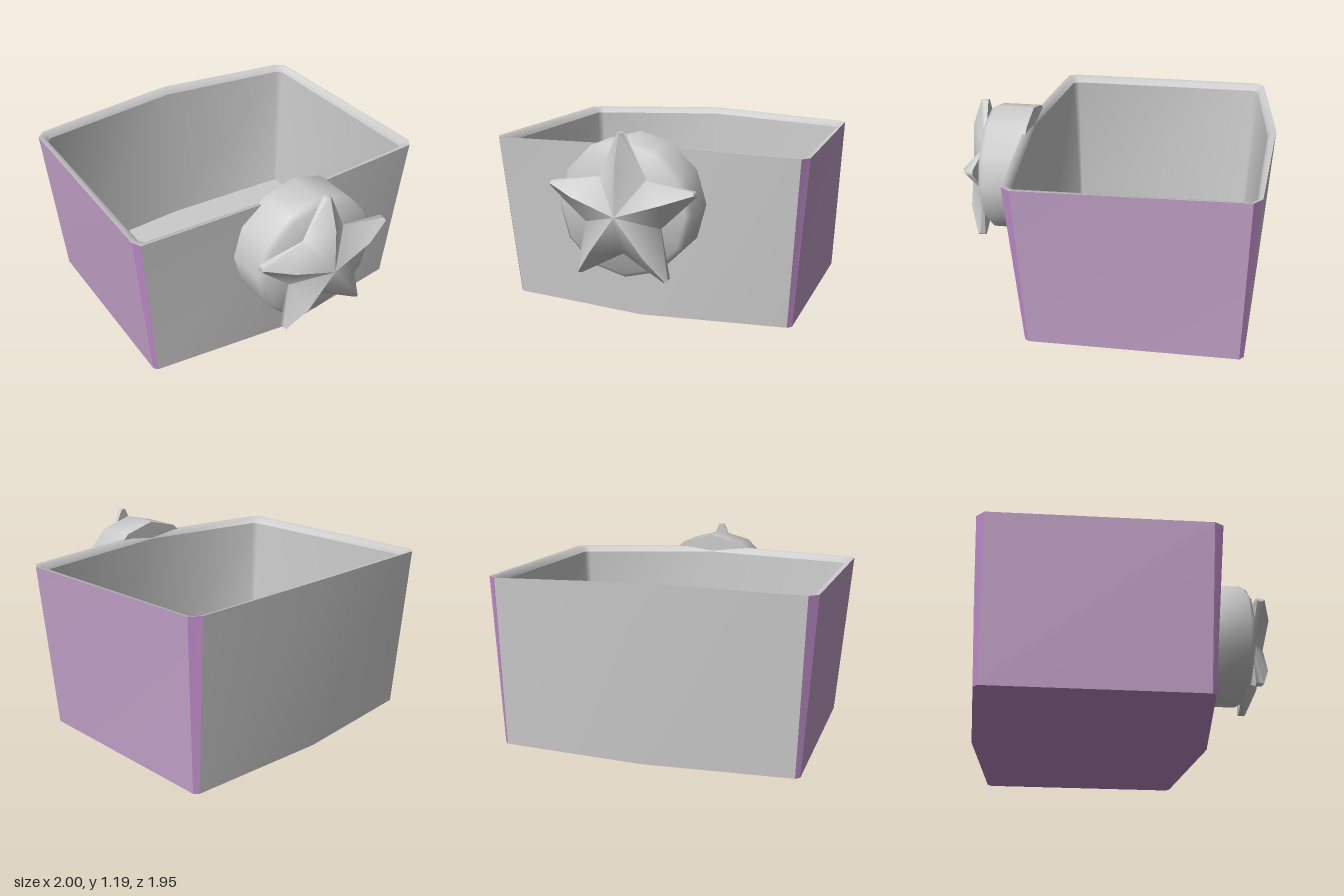
import * as THREE from 'three';
import { toCreasedNormals } from 'three/addons/utils/BufferGeometryUtils.js';

const grey = new THREE.MeshStandardMaterial({ color: 0xcccccc });
const mauve = new THREE.MeshStandardMaterial({ color: 0xc4a2ca });
const violet = new THREE.MeshStandardMaterial({ color: 0xbf8cc9 });

// Mesh from polygons, each a loop of Vector3 fanned into triangles
function polyMesh(name, polys, material, crease = 0.5) {
  const pos = [];
  for (const p of polys) {
    for (let i = 1; i < p.length - 1; i++) {
      for (const v of [p[0], p[i], p[i + 1]]) pos.push(v.x, v.y, v.z);
    }
  }
  const geo = new THREE.BufferGeometry();
  geo.setAttribute('position', new THREE.Float32BufferAttribute(pos, 3));
  const mesh = new THREE.Mesh(toCreasedNormals(geo, crease), material);
  mesh.name = name;
  return mesh;
}

const ring = list => list.map(p => new THREE.Vector3(...p));
// Quads joining two loops, optionally only the given segments
function band(a, b, segments = a.map((_, i) => i)) {
  return segments.map(i => {
    const j = (i + 1) % a.length;
    return [a[i], a[j], b[j], b[i]];
  });
}

function makeTub() {
  const tub = new THREE.Group();
  tub.name = 'tub';
  // Loops run from the front right corner round to the back right one
  const top = ring([
    [-1, 1.04, 0.465], [-0.97, 1.04, 0.52], [0, 1.065, 0.59], [0.955, 1.035, 0.515], [0.995, 1.035, 0.46],
    [0.96, 1.035, -0.85], [0.9, 1.035, -0.9], [0, 1.07, -0.98], [-0.935, 1.04, -0.91], [-0.985, 1.04, -0.86],
  ]);
  const bottom = ring([
    [-0.91, 0, 0.42], [-0.89, 0, 0.445], [0, 0, 0.555], [0.89, 0, 0.445], [0.915, 0, 0.42],
    [0.915, 0, -0.835], [0.89, 0, -0.86], [0, 0, -0.92], [-0.885, 0, -0.86], [-0.91, 0, -0.835],
  ]);
  const floor = ring([
    [-0.88, 0.06, 0.42], [-0.865, 0.06, 0.435], [0, 0.06, 0.505], [0.865, 0.06, 0.435], [0.885, 0.06, 0.42],
    [0.885, 0.06, -0.815], [0.87, 0.06, -0.83], [0, 0.06, -0.88], [-0.865, 0.06, -0.83], [-0.88, 0.06, -0.815],
  ]);
  // Rounded lip between the outer edge and the inner walls
  const inset = (amount, drop) => top.map((p, i) => {
    const v = p.clone().lerp(floor[i], amount);
    v.y = p.y - drop;
    return v;
  });
  const lip = inset(0.3, 0.005);
  const lipInner = inset(0.5, 0.04);

  tub.add(
    polyMesh('frontWall', band(bottom, top, [1, 2]), grey),
    polyMesh('backWall', band(bottom, top, [6, 7]), grey),
    polyMesh('sideWalls', band(bottom, top, [4, 9]), mauve),
    polyMesh('cornerChamfers', band(bottom, top, [0, 3, 5, 8]), violet),
    polyMesh('base', [[...bottom].reverse()], violet),
    polyMesh('rim', [...band(top, lip), ...band(lip, lipInner)], grey, 1.2),
    polyMesh('innerWalls', band(lipInner, floor), grey, 1.2),
    polyMesh('innerFloor', [floor], grey),
  );
  return tub;
}

// Twelve-sided drum with a bevelled front edge
function makeDrum() {
  const profile = [[0, 0], [0.408, 0], [0.408, 0.25], [0.38, 0.28], [0, 0.28]];
  const geo = new THREE.LatheGeometry(profile.map(p => new THREE.Vector2(...p)), 12);
  geo.rotateX(Math.PI / 2);
  const drum = new THREE.Mesh(toCreasedNormals(geo.toNonIndexed(), 0.9), grey);
  drum.name = 'drum';
  drum.position.set(0.008, 0.735, 0.55);
  return drum;
}

// Five-pointed star with blunt tips, thin valleys and a raised ridge along each arm
function makeStar() {
  const polar = (r, a, z) => new THREE.Vector3(r * Math.cos(a), r * Math.sin(a), z);
  const centre = new THREE.Vector3(0, 0, 0.135);
  const front = [], outline = [];
  for (let i = 0; i < 5; i++) {
    const a = Math.PI / 2 + i * Math.PI * 0.4;
    const v0 = polar(0.243, a - Math.PI / 5, 0.008);
    const v1 = polar(0.243, a + Math.PI / 5, 0.008);
    const t0 = polar(0.458, a - 0.035, 0.035);
    const t1 = polar(0.458, a + 0.035, 0.035);
    const tip = polar(0.46, a, 0.05);
    const ridge = polar(0.28, a, 0.115);
    front.push([v0, t0, tip, ridge], [ridge, tip, t1, v1], [v0, ridge, centre], [ridge, v1, centre]);
    outline.push(v0, t0, tip, t1);
  }
  const rear = outline.map(p => new THREE.Vector3(p.x, p.y, 0));
  const middle = new THREE.Vector3(0, 0, 0);
  const rearFan = rear.map((p, i) => [middle, rear[(i + 1) % rear.length], p]);
  const star = polyMesh('star', [...front, ...band(rear, outline), ...rearFan], grey, 1.15);
  star.position.set(0.018, 0.727, 0.838);
  return star;
}

export function createModel() {
  const model = new THREE.Group();
  model.name = 'starTub';
  model.add(makeTub(), makeDrum(), makeStar());
  return model;
}
